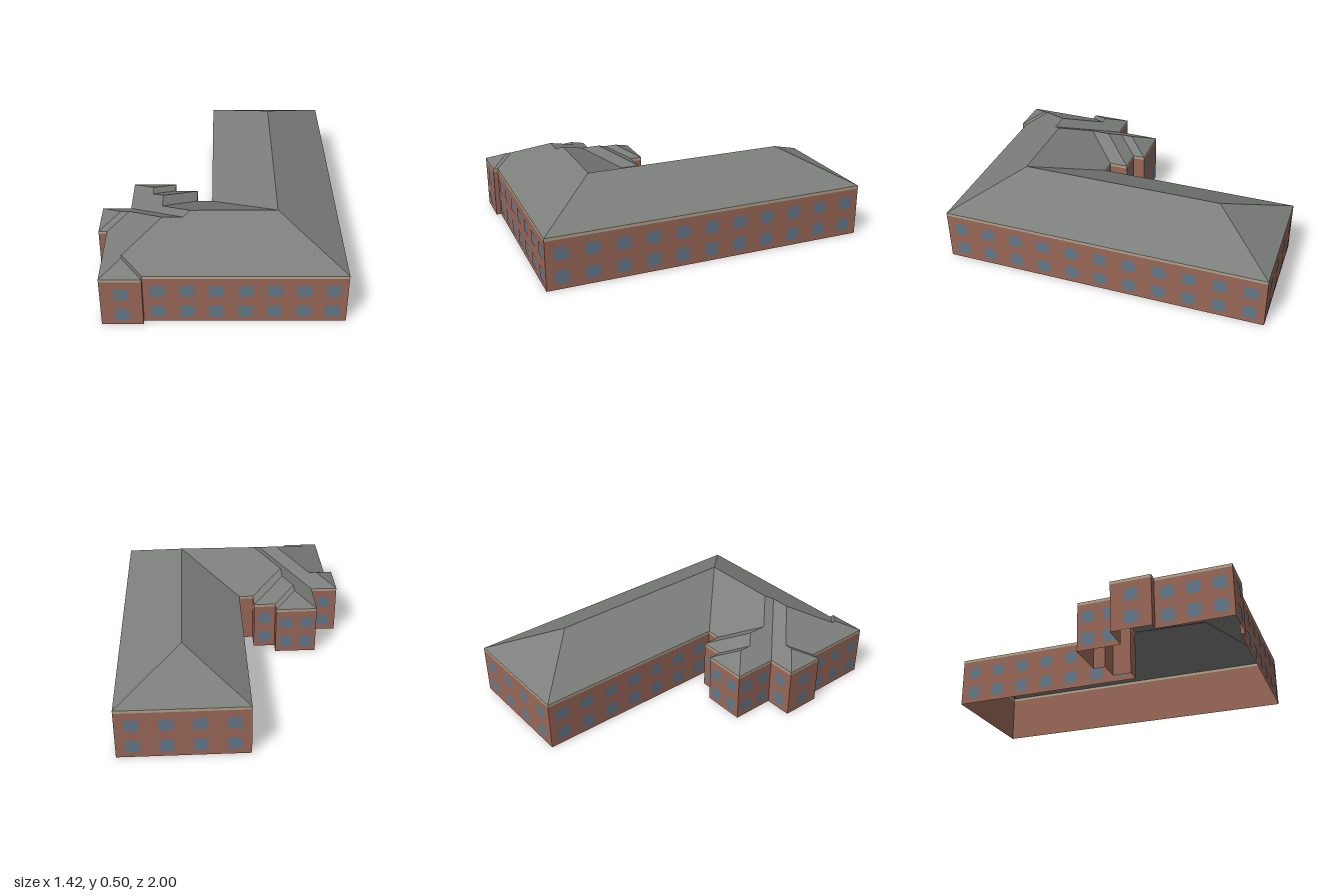
import * as THREE from 'three';

const TRIM_Y = 0.298, EAVE_Y = 0.316, SLOPE = 0.49;

// Plan points: [x, z, distance in from the eaves]
const P = {
  // wall corners, in order around the building
  A: [-0.046, -1, 0], B: [0.708, -1, 0], C: [0.708, 0.971, 0], D: [-0.424, 0.971, 0],
  E: [-0.424, 1, 0], F: [-0.658, 1, 0], G: [-0.658, 0.553, 0], H: [-0.708, 0.553, 0],
  I: [-0.708, 0.309, 0], J: [-0.538, 0.309, 0], K: [-0.538, 0.04, 0], L: [-0.275, 0.04, 0],
  M: [-0.275, 0.114, 0], N: [-0.137, 0.114, 0], O: [-0.137, 0.229, 0], P: [-0.046, 0.229, 0],
  // main ridges
  R1: [0.331, -0.623, 0.377], R2: [0.331, 0.599, 0.374],
  Q1: [-0.168, 0.6, 0.371], Q2: [-0.206, 0.641, 0.332], Q3: [-0.326, 0.641, 0.332],
  // rear bays
  S1: [-0.338, 0.43, 0.201], S2: [-0.338, 0.315, 0.201],
  S3: [-0.406, 0.246, 0.132], S4: [-0.406, 0.172, 0.132],
  // side bay and front bay
  T1: [-0.586, 0.431, 0.122], T2: [-0.536, 0.431, 0.122],
  U1: [-0.541, 0.883, 0.117], U2: [-0.541, 0.854, 0.117],
};

// One roof slope per wall, starting with that wall's two corners
const SLOPES = [
  'A B R1', 'B C R2 R1', 'C D U2 Q3 Q2 Q1 R2', 'D E U1 U2', 'E F U1',
  'F G T2 Q3 U2 U1', 'G H T1 T2', 'H I T1', 'I J Q2 Q3 T2 T1',
  'J K S4 S3 S2 S1 Q1 Q2', 'K L S4', 'L M S3 S4', 'M N S2 S3', 'N O S1 S2',
  'O P R2 Q1 S1', 'P A R1 R2',
].map((s) => s.split(' ').map((k) => P[k]));

function slopeGeometry(pts) {
  const plan = pts.map(([x, z]) => new THREE.Vector2(x, z));
  const index = [];
  for (const [a, b, c] of THREE.ShapeUtils.triangulateShape(plan, [])) {
    // wind every triangle so that it faces up
    const area = THREE.ShapeUtils.area([plan[a], plan[b], plan[c]]);
    index.push(...(area > 0 ? [a, c, b] : [a, b, c]));
  }
  const geo = new THREE.BufferGeometry();
  geo.setAttribute('position', new THREE.Float32BufferAttribute(
    pts.flatMap(([x, z, d]) => [x, EAVE_Y + d * SLOPE, z]), 3));
  geo.setIndex(index);
  const flat = geo.toNonIndexed();
  flat.computeVertexNormals();
  return flat;
}

export function createModel() {
  const mat = (name, color, side = THREE.FrontSide) => {
    const m = new THREE.MeshStandardMaterial({ color, side });
    m.name = name;
    return m;
  };
  const brick = mat('brick', 0x9a6858, THREE.DoubleSide);
  const stone = mat('stone trim', 0xb3a38b, THREE.DoubleSide);
  const slate = mat('slate', 0x7c7f7b, THREE.DoubleSide);
  const glass = mat('window glass', 0x647889);

  const model = new THREE.Group();
  model.name = 'building';

  const panel = (parent, name, material, w, y0, y1, x = 0, z = 0) => {
    const mesh = new THREE.Mesh(new THREE.PlaneGeometry(w, y1 - y0), material);
    mesh.name = name;
    mesh.position.set(x, (y0 + y1) / 2, z);
    parent.add(mesh);
  };

  for (const pts of SLOPES) {
    const [[x0, z0], [x1, z1]] = pts;
    const length = Math.hypot(x1 - x0, z1 - z0);

    // Wall with its trim band, facing outward
    const wall = new THREE.Group();
    wall.name = 'wall';
    wall.position.set((x0 + x1) / 2, 0, (z0 + z1) / 2);
    wall.rotation.y = Math.atan2(z1 - z0, x0 - x1);
    panel(wall, 'brickWall', brick, length, 0, TRIM_Y);
    panel(wall, 'eavesTrim', stone, length, TRIM_Y, EAVE_Y);

    // Two storeys of evenly spaced windows
    const count = length > 0.12 ? Math.round(length / 0.172) : 0;
    for (let i = 0; i < count; i++) {
      const x = ((i + 0.5) / count - 0.5) * length;
      panel(wall, 'lowerWindow', glass, 0.08, 0.034, 0.114, x, 0.002);
      panel(wall, 'upperWindow', glass, 0.08, 0.178, 0.252, x, 0.002);
    }
    model.add(wall);

    const roof = new THREE.Mesh(slopeGeometry(pts), slate);
    roof.name = 'roofSlope';
    model.add(roof);
  }
  return model;
}
